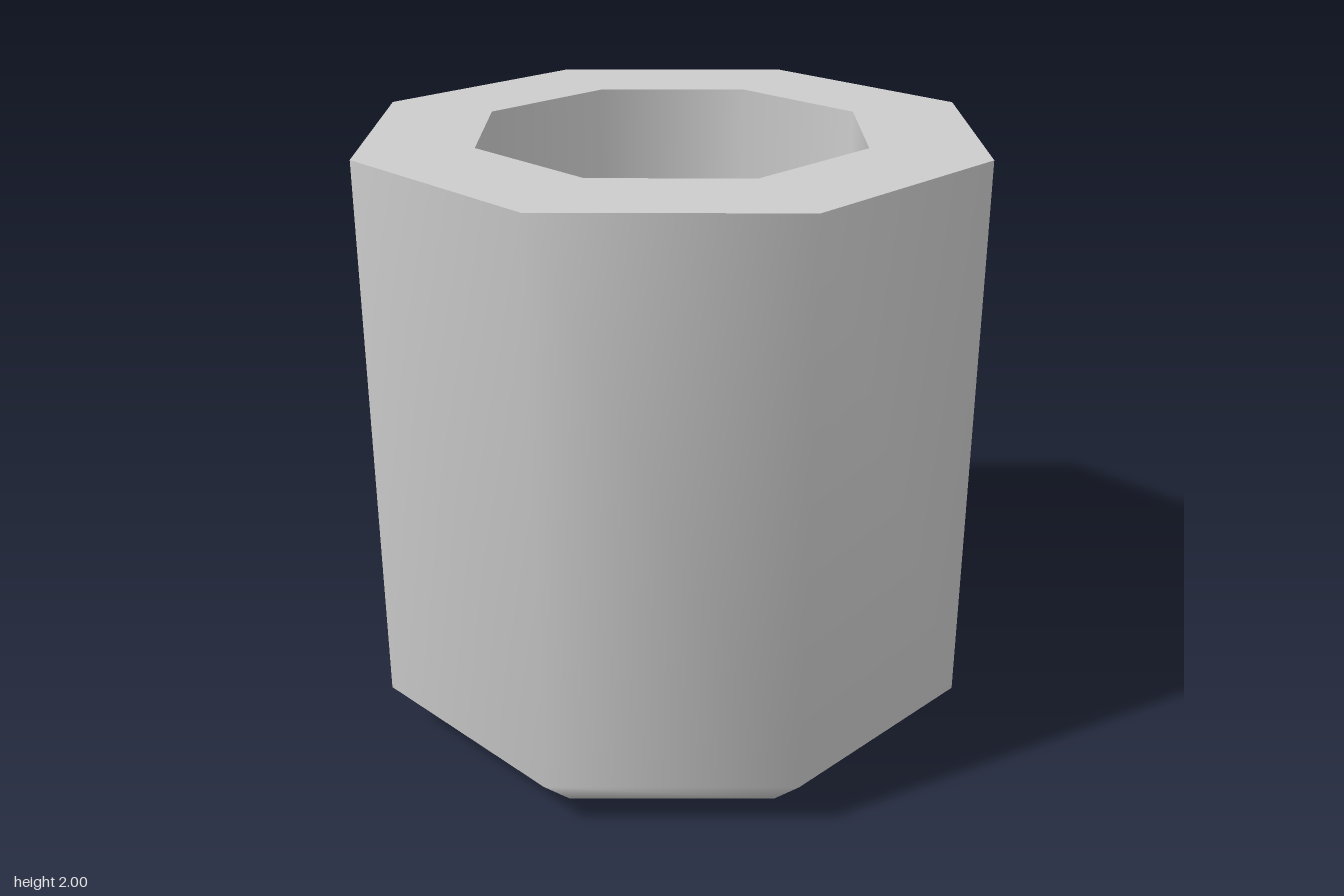
import * as THREE from 'three';

export function createModel() {
  const group = new THREE.Group();
  const grey = new THREE.MeshStandardMaterial({ color: 0xcccccc });
  grey.name = 'light grey';

  // Octagonal ring radii, measured to the corners
  const outer = 1.036, base = 0.866, inner = 0.652;
  const height = 2, chamfer = 0.16, floor = 0.35;

  // Eight-sided solid of revolution with flats facing the axes
  const addPart = (name, profile) => {
    const points = profile.map(([r, y]) => new THREE.Vector2(r, y));
    const mesh = new THREE.Mesh(new THREE.LatheGeometry(points, 8, Math.PI / 8), grey);
    mesh.name = name;
    group.add(mesh);
  };

  // Smooth outer wall running into the chamfered underside
  addPart('outerShell', [[0, 0], [base, 0], [outer, chamfer], [outer, height]]);
  // Flat top
  addPart('rim', [[outer, height], [inner, height]]);
  // Hollow: straight wall and flat floor
  addPart('innerWall', [[inner, height], [inner, floor]]);
  addPart('innerFloor', [[inner, floor], [0, floor]]);

  return group;
}
